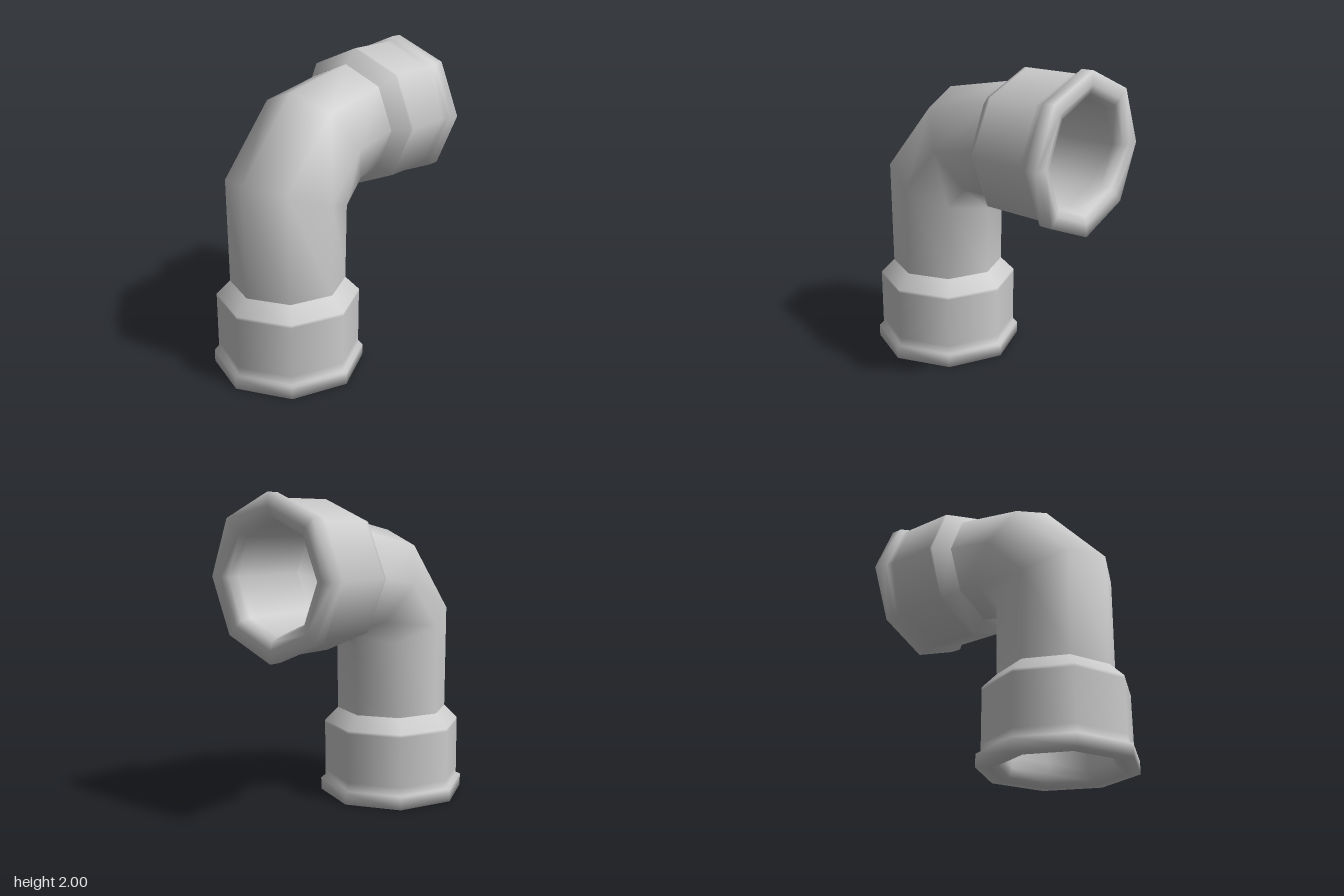
import * as THREE from 'three';

const SIDES = 8;
const PIPE_R = 0.37, BORE_R = 0.335;

// Socket profile (radius, height): up the bore, around the rim, along the outside to the pipe
const SOCKET = [
  [BORE_R, 0.58], [BORE_R, 0.14], [BORE_R, 0.07], [0.36, 0.015], [0.41, 0], [0.49, 0],
  [0.49, 0.08], [0.46, 0.082], [0.46, 0.14], [0.46, 0.47], [0.46, 0.49], [0.38, 0.57], [PIPE_R, 0.58],
];

// Bend sections: outer and inner edge of each ring as [z, y]
const BEND = [
  [[0.70, 0.58], [-0.04, 0.58]],
  [[0.71, 1.30], [-0.05, 1.03]],
  [[0.28, 1.785], [-0.14, 1.12]],
  [[-0.24, 1.88], [-0.25, 1.14]],
];

// Skins the bend rings, scaled about their centres
function bendGeometry(scale, inward) {
  const pos = [], index = [];
  for (const [o, n] of BEND) {
    const cz = (o[0] + n[0]) / 2, cy = (o[1] + n[1]) / 2;
    const hz = (o[0] - n[0]) / 2 * scale, hy = (o[1] - n[1]) / 2 * scale;
    for (let j = 0; j < SIDES; j++) {
      const a = j / SIDES * Math.PI * 2, c = Math.cos(a);
      pos.push(Math.sin(a) * PIPE_R * scale, cy + hy * c, cz + hz * c);
    }
  }
  for (let i = 0; i < BEND.length - 1; i++) {
    for (let j = 0; j < SIDES; j++) {
      const k = (j + 1) % SIDES;
      const a = i * SIDES + j, b = i * SIDES + k, c = a + SIDES, d = b + SIDES;
      if (inward) index.push(a, c, b, b, c, d);
      else index.push(a, b, c, b, d, c);
    }
  }
  const g = new THREE.BufferGeometry();
  g.setAttribute('position', new THREE.Float32BufferAttribute(pos, 3));
  g.setIndex(index);
  g.computeVertexNormals();
  return g;
}

export function createModel() {
  const group = new THREE.Group();
  const material = new THREE.MeshStandardMaterial({ color: 0xcccccc });
  const add = (name, geometry) => {
    const mesh = new THREE.Mesh(geometry, material);
    mesh.name = name;
    group.add(mesh);
    return mesh;
  };

  // Curved pipe, outside and bore
  add('elbowPipe', bendGeometry(1, false));
  add('elbowBore', bendGeometry(BORE_R / PIPE_R, true));

  // Identical flanged sockets on both ends
  const socket = new THREE.LatheGeometry(SOCKET.map(p => new THREE.Vector2(...p)), SIDES);
  add('lowerSocket', socket).position.set(0, 0, 0.33);
  const rear = add('rearSocket', socket);
  rear.rotation.x = Math.PI / 2;
  rear.position.set(0, 1.51, -0.82);

  return group;
}
